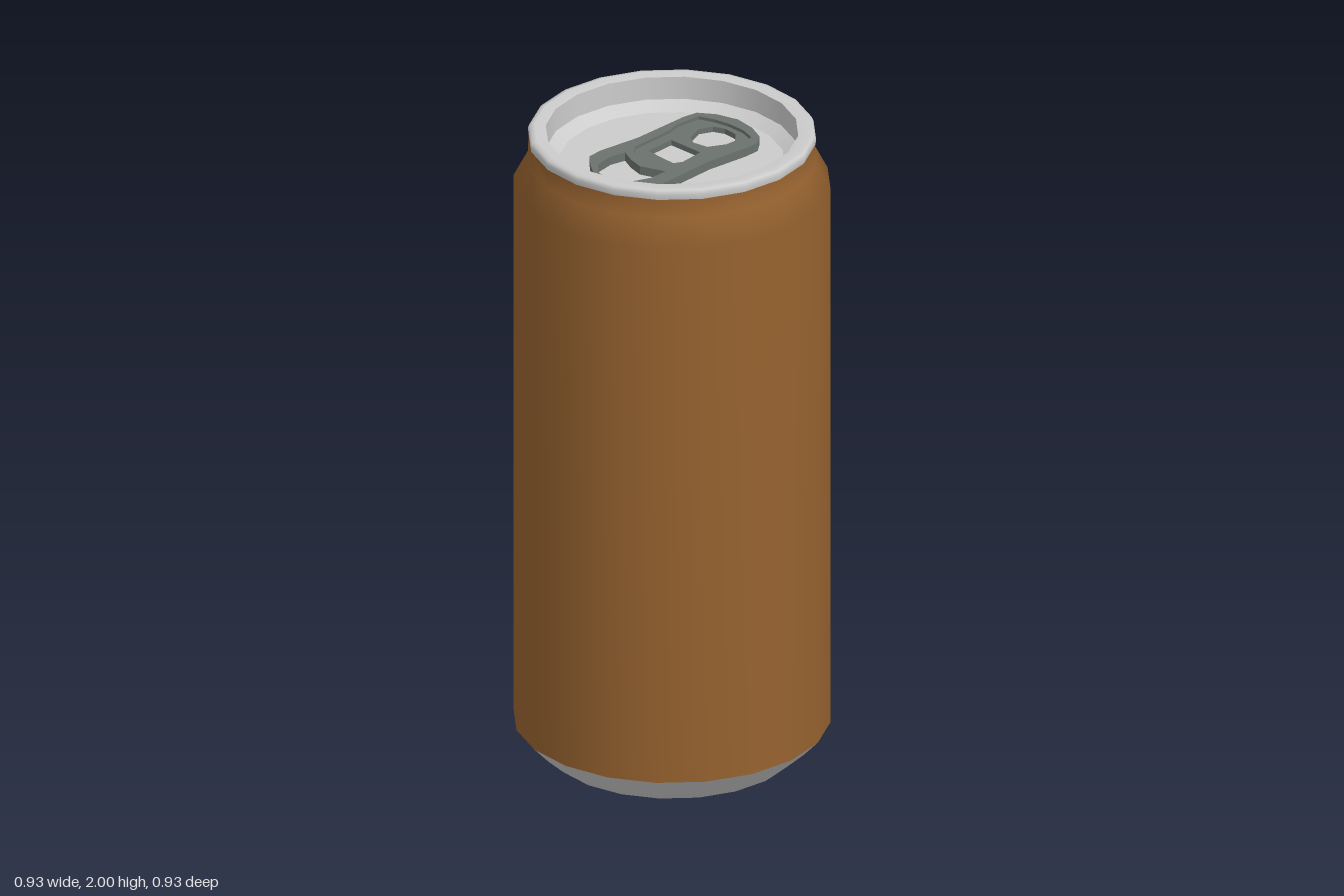
import * as THREE from 'three';

const SIDES = 20;

const metal = new THREE.MeshStandardMaterial({ color: 0xcccccc });
const paint = new THREE.MeshStandardMaterial({ color: 0x96622f });
const tabMetal = new THREE.MeshStandardMaterial({ color: 0x6b726c });

const toVectors = (points) => points.map(([x, y]) => new THREE.Vector2(x, y));

// Turned surface; each call is smooth within itself and creased against its neighbours
function turned(name, profile, material) {
  const mesh = new THREE.Mesh(new THREE.LatheGeometry(toVectors(profile), SIDES), material);
  mesh.name = name;
  return mesh;
}

// Flat plate lying in the xz plane; outlines are given as [x, z]
function plate(name, outline, holes, top, bottom) {
  const shape = new THREE.Shape(toVectors(outline));
  shape.holes = holes.map((h) => new THREE.Path(toVectors(h)));
  const geometry = new THREE.ExtrudeGeometry(shape, { depth: top - bottom, bevelEnabled: false });
  geometry.rotateX(Math.PI / 2).translate(0, top, 0);
  const mesh = new THREE.Mesh(geometry, tabMetal);
  mesh.name = name;
  return mesh;
}

function createPullTab() {
  const outer = [
    [0, -0.29], [0.07, -0.275], [0.125, -0.245], [0.15, -0.21], [0.15, -0.16], [0.13, -0.02],
    [0.13, 0.19], [0.115, 0.23], [0.07, 0.27], [0, 0.288], [-0.06, 0.275], [-0.11, 0.235],
    [-0.155, 0.19], [-0.158, 0.14], [-0.135, 0], [-0.13, -0.2], [-0.12, -0.245], [-0.07, -0.275],
  ];
  const inner = [
    [0, -0.25], [0.06, -0.245], [0.11, -0.225], [0.135, -0.15], [0.11, -0.05], [0.1, 0.07],
    [0.06, 0.095], [0, 0.1], [-0.07, 0.09], [-0.1, 0.05], [-0.1, -0.1], [-0.11, -0.15],
    [-0.1, -0.23], [-0.05, -0.245],
  ];
  const fingerHole = [
    [0, -0.233], [0.05, -0.225], [0.078, -0.19], [0.075, -0.155], [0.045, -0.105],
    [-0.005, -0.1], [-0.035, -0.12], [-0.055, -0.18], [-0.035, -0.22],
  ];
  const rivetHole = [
    [-0.065, -0.07], [0.055, -0.063], [0.06, 0.02], [0.045, 0.045], [0, 0.04], [-0.065, 0.03],
  ];
  const noseHole = [
    [-0.095, 0.1], [-0.05, 0.125], [0, 0.142], [0.08, 0.118], [0.078, 0.18],
    [0.05, 0.24], [0, 0.272], [-0.06, 0.255], [-0.1, 0.215], [-0.108, 0.15],
  ];
  const tab = new THREE.Group();
  tab.name = 'pullTab';
  tab.add(
    plate('tabFrame', outer, [inner, noseHole], 1.93, 1.903),
    plate('tabPanel', inner, [fingerHole, rivetHole], 1.92, 1.903),
  );
  return tab;
}

export function createModel() {
  const can = new THREE.Group();
  can.name = 'drinkCan';
  can.add(
    // Base: hollow dome, standing ring and flared foot
    turned('baseDome', [[0, 0.1], [0.12, 0.09], [0.23, 0.065], [0.31, 0.03], [0.35, 0.003]], metal),
    turned('standingRing', [[0.35, 0.003], [0.358, 0], [0.368, 0.003]], metal),
    turned('foot', [[0.368, 0.003], [0.42, 0.05], [0.467, 0.1]], metal),
    // Painted wall with its narrowed neck
    turned('body', [[0.467, 0.1], [0.467, 1.83], [0.425, 1.91], [0.422, 1.968]], paint),
    // Rolled rim and the stepped well of the lid
    turned('rim', [[0.422, 1.968], [0.425, 1.985], [0.42, 1.997], [0.405, 2], [0.372, 1.996]], metal),
    turned('wellWall', [[0.372, 1.996], [0.371, 1.925]], metal),
    turned('wellStep', [[0.371, 1.925], [0.332, 1.9]], metal),
    turned('lid', [[0.332, 1.9], [0, 1.9]], metal),
    createPullTab(),
  );
  return can;
}
